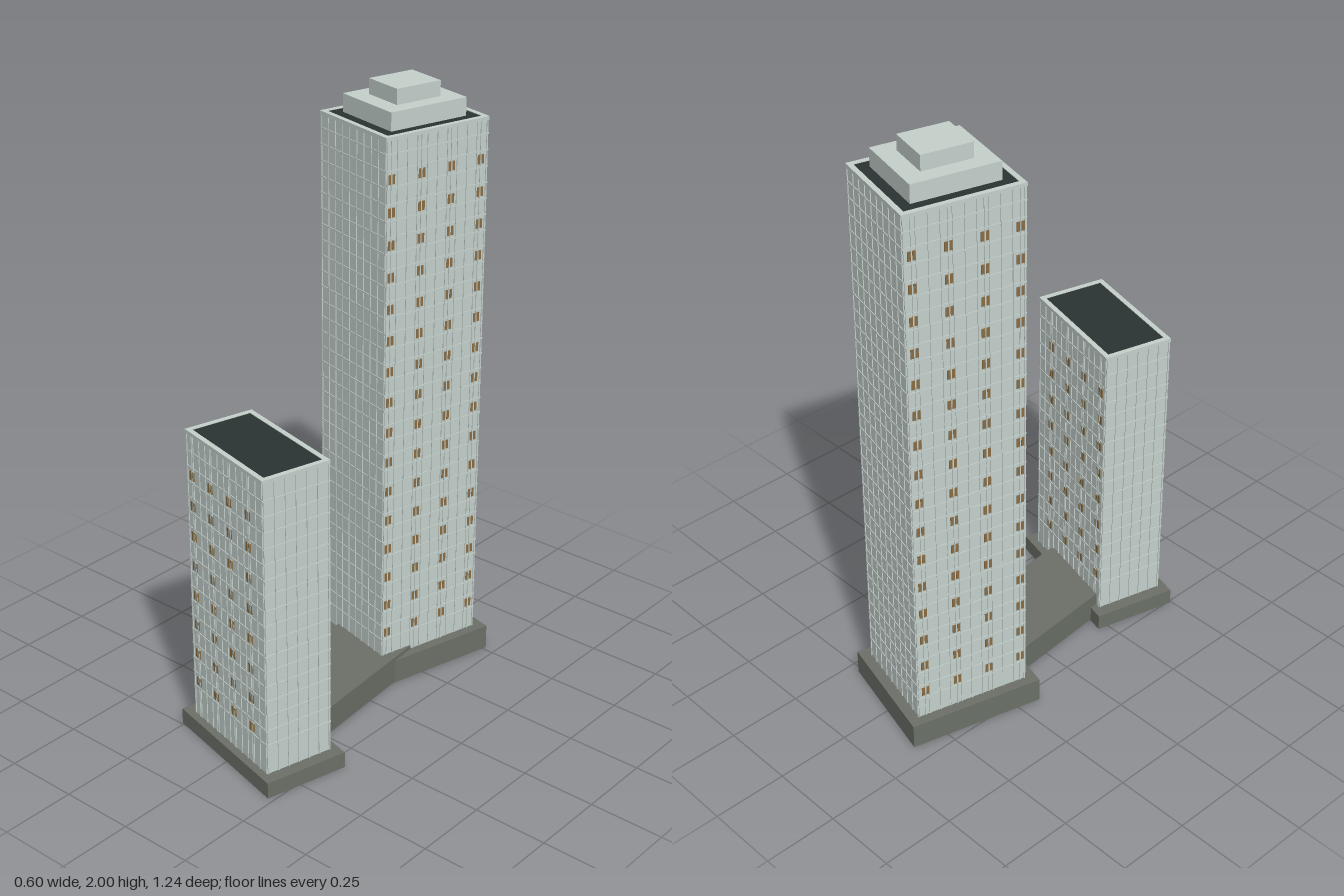
import * as THREE from 'three';
import { mergeGeometries } from 'three/addons/utils/BufferGeometryUtils.js';

const mat = (name, color) => {
  const m = new THREE.MeshStandardMaterial({ color });
  m.name = name;
  return m;
};

// Box given by its centre in plan, its bottom and its size
const box = (w, h, d, x = 0, y = 0, z = 0) =>
  new THREE.BoxGeometry(w, h, d).translate(x, y + h / 2, z);

const FLOOR = 0.0525;
const FIRST_WINDOW = 0.185;

export function createModel() {
  const pale = mat('paleFacade', 0xc6d2cd);
  const dark = mat('darkRoof', 0x2b3433);
  const stone = mat('plinthStone', 0x6c7169);
  const amber = mat('litWindow', 0x8a6e45);

  const model = new THREE.Group();
  model.name = 'twinTowers';

  const add = (group, name, geometries, material) => {
    const mesh = new THREE.Mesh(mergeGeometries(geometries), material);
    mesh.name = name;
    group.add(mesh);
  };

  function building(o) {
    const g = new THREE.Group();
    g.name = o.name;
    g.position.set(o.x, 0, o.z);
    g.rotation.y = -0.25;
    const proud = 0.003;
    const w = o.w - 2 * proud, d = o.d - 2 * proud;
    const roofY = o.top - 0.002;

    add(g, 'plinth', [box(o.baseW, o.baseH, o.baseD)], stone);
    add(g, 'body', [box(w, roofY - 0.003 - o.baseH, d, 0, o.baseH)], pale);
    add(g, 'roof', [box(o.w - 0.034, 0.003, o.d - 0.034, 0, roofY - 0.003)], dark);

    // Parapet around the roof
    const t = 0.017, ph = 0.012, py = o.top - ph;
    const rim = [];
    for (const s of [-1, 1]) {
      rim.push(box(o.w, ph, t, 0, py, s * (o.d - t) / 2));
      rim.push(box(t, ph, o.d - 2 * t, s * (o.w - t) / 2, py, 0));
    }
    add(g, 'parapet', rim, pale);

    // Thin ledge at every floor
    const ledges = [];
    for (let y = FIRST_WINDOW - FLOOR / 2; y < o.top - 0.03; y += FLOOR)
      ledges.push(box(o.w - 0.001, 0.005, o.d - 0.001, 0, y - 0.0025));
    add(g, 'floorLedges', ledges, pale);

    // Fins on all four walls, paired lit panes on two opposite walls
    const fins = [], panes = [];
    for (let side = 0; side < 4; side++) {
      const alongX = side % 2 === 0;
      const width = alongX ? w : d;
      const out = (alongX ? d : w) / 2;
      const cols = alongX ? o.colsX : o.colsZ;
      const pitch = (width - 0.006) / cols;
      const place = (geo, list) => list.push(geo.rotateY(side * Math.PI / 2));
      const fin = x => place(box(0.004, py - o.baseH, proud, x, o.baseH, out + proud / 2), fins);
      for (let i = 0; i <= cols; i++) fin((i - cols / 2) * pitch);
      if (alongX !== o.litAlongX) continue;
      const mirror = side < 2 ? 1 : -1;
      for (let i = 0; i < cols; i += 3) {
        const x = mirror * ((i + 0.5 - cols / 2) * pitch + o.litShift);
        fin(x);
        for (let r = 0; r < o.litRows; r++)
          for (const s of [-1, 1])
            place(box(0.010, 0.03, 0.003, x + s * 0.0075,
              FIRST_WINDOW + r * 2 * FLOOR - 0.015, out + 0.0012), panes);
      }
    }
    add(g, 'fins', fins, pale);
    add(g, 'litWindows', panes, amber);
    model.add(g);
    return g;
  }

  // Tall tower with a stepped crown
  const tall = building({
    name: 'tallTower', x: -0.044, z: -0.345, w: 0.348, d: 0.39, top: 1.893,
    baseW: 0.41, baseD: 0.456, baseH: 0.085,
    colsX: 9, colsZ: 10, litAlongX: false, litRows: 16, litShift: -0.004,
  });
  add(tall, 'lowerCrown', [box(0.25, 0.065, 0.285, 0, 1.885)], pale);
  add(tall, 'upperCrown', [box(0.145, 0.05, 0.165, 0, 1.95)], pale);

  // Shorter slab block
  building({
    name: 'shortTower', x: 0.022, z: 0.417, w: 0.425, d: 0.24, top: 1.067,
    baseW: 0.503, baseD: 0.288, baseH: 0.055,
    colsX: 12, colsZ: 6, litAlongX: true, litRows: 8, litShift: 0.009,
  });

  // Low podium joining the two
  const podium = new THREE.Mesh(box(0.28, 0.095, 0.555, 0, 0.004), stone);
  podium.name = 'podium';
  podium.position.set(-0.009, 0, 0.06);
  podium.rotation.y = 0.086;
  model.add(podium);

  return model;
}
